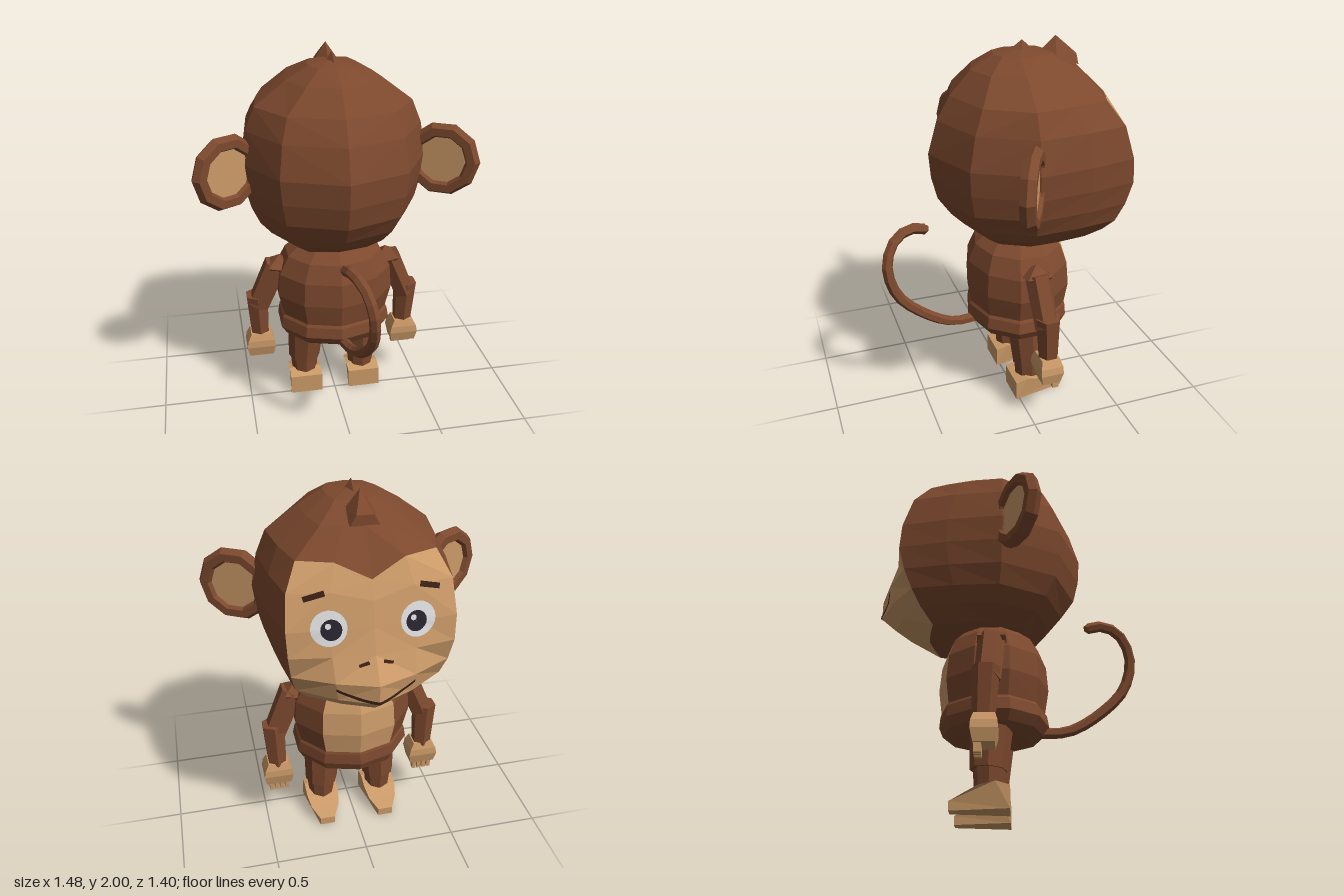
import * as THREE from 'three';
import { ConvexGeometry } from 'three/addons/geometries/ConvexGeometry.js';

const V = (x, y, z) => new THREE.Vector3(x, y, z);

function material(name, color) {
  const m = new THREE.MeshStandardMaterial({ color, flatShading: true, side: THREE.DoubleSide });
  m.name = name;
  return m;
}

function flat(g) {
  const out = g.index ? g.toNonIndexed() : g;
  out.computeVertexNormals();
  return out;
}

// Skin over equal rings (bottom to top, counterclockwise from above).
// second(row, column) picks the faces that take the second material.
function loft(rings, second = () => false, apex = null) {
  const lists = [[], []], n = rings[0].length;
  const tri = (k, ...pts) => pts.forEach(p => lists[k].push(p.x, p.y, p.z));
  const centre = r => r.reduce((s, p) => s.add(p), V(0, 0, 0)).divideScalar(n);
  const top = rings[rings.length - 1], low = rings[0];
  const topC = apex || centre(top), lowC = centre(low);
  for (let i = 0; i < n; i++) {
    const j = (i + 1) % n;
    for (let r = 0; r + 1 < rings.length; r++) {
      const k = second(r, i) ? 1 : 0, a = rings[r], b = rings[r + 1];
      if (i < n / 2) { tri(k, a[i], a[j], b[j]); tri(k, a[i], b[j], b[i]); }
      else { tri(k, a[i], a[j], b[i]); tri(k, a[j], b[j], b[i]); }
    }
    tri(0, low[j], low[i], lowC);
    tri(0, top[i], top[j], topC);
  }
  const g = new THREE.BufferGeometry();
  g.setAttribute('position', new THREE.Float32BufferAttribute(lists[0].concat(lists[1]), 3));
  g.addGroup(0, lists[0].length / 3, 0);
  g.addGroup(lists[0].length / 3, lists[1].length / 3, 1);
  g.computeVertexNormals();
  return g;
}

export function createModel() {
  const brown = material('brown fur', 0x7d492e);
  const tan = material('tan skin', 0xcb9a68);
  const white = material('eye white', 0xdedede);
  const black = material('pupil black', 0x282430);
  const dark = material('dark brown', 0x3a2015);
  const model = new THREE.Group();
  model.name = 'monkey';

  const add = (name, geo, mat, parent = model) => {
    const m = new THREE.Mesh(geo, mat);
    m.name = name;
    parent.add(m);
    return m;
  };
  // Tapered straight piece from a down to b
  const limb = (name, mat, a, b, ra, rb, sides) => {
    const m = add(name, flat(new THREE.CylinderGeometry(ra, rb, a.distanceTo(b), sides)), mat);
    m.position.copy(a).lerp(b, 0.5);
    m.quaternion.setFromUnitVectors(V(0, 1, 0), a.clone().sub(b).normalize());
    return m;
  };

  // Head: y, half width, back z, face half width, face side z, face front z
  const headRows = [
    [0.96, 0.24, 0.12, 0.22, -0.38, -0.42],
    [1.03, 0.34, 0.23, 0.30, -0.44, -0.61],
    [1.10, 0.40, 0.30, 0.36, -0.48, -0.69],
    [1.20, 0.445, 0.37, 0.385, -0.52, -0.69],
    [1.32, 0.475, 0.40, 0.40, -0.55, -0.605],
    [1.45, 0.49, 0.41, 0.405, -0.54, -0.57],
    [1.62, 0.46, 0.36, 0.39, -0.49, -0.545],
    [1.74, 0.41, 0.29, 0.33, -0.41, -0.51],
    [1.86, 0.25, 0.18, 0.20, -0.33, -0.37],
    [1.93, 0.13, 0.06, 0.10, -0.20, -0.23],
  ];
  const headRings = headRows.map(([y, w, zb, wf, zs, zf], r) => {
    const dip = r === 7 ? 0.08 : r === 6 ? 0.05 : 0; // widow's peak
    const half = [
      V(0.66 * w, y, 0.7 * zb),
      V(w, y, 0.3 * zb + 0.25 * zs),
      V((w + wf) / 2 + 0.01, y, 0.55 * zs),
      V(wf, y, zs),
      V(0.5 * wf, y, zs + 0.6 * (zf - zs)),
    ];
    const other = half.map(p => V(-p.x, p.y, p.z)).reverse();
    return [V(0, y, zb), ...half, V(0, y - dip, zf), ...other];
  });
  const head = add('head', loft(headRings, (r, i) => r < 7 && i >= 4 && i <= 7, V(0, 1.95, -0.08)), [brown, tan]);

  // Thin face details laid onto the head surface
  const ray = new THREE.Raycaster();
  const decal = (name, geo, mat, x, y, lift, turn = 0) => {
    geo.rotateZ(turn).rotateY(Math.PI).translate(x, y, 0);
    const p = geo.attributes.position;
    for (let i = 0; i < p.count; i++) {
      ray.set(V(p.getX(i), p.getY(i), -2), V(0, 0, 1));
      const hit = ray.intersectObject(head)[0];
      p.setZ(i, (hit ? hit.point.z : -0.5) - lift);
    }
    add(name, flat(geo), mat);
  };
  const disc = r => new THREE.RingGeometry(0.001, r, 20, 4);
  for (const s of [-1, 1]) {
    decal('eyeWhite', disc(0.085), white, s * 0.21, 1.46, 0.005);
    decal('pupil', disc(0.05), black, s * 0.2, 1.455, 0.009);
    decal('eyeHighlight', disc(0.014), white, s * 0.2 + 0.015, 1.475, 0.013);
    decal('eyebrow', new THREE.PlaneGeometry(0.1, 0.025, 6, 2), dark, s * 0.27, 1.61, 0.008, s * 0.25);
    decal('nostril', new THREE.PlaneGeometry(0.05, 0.014, 3, 1), dark, s * 0.058, 1.285, 0.006, s * 0.3);
  }
  const mouth = new THREE.PlaneGeometry(0.38, 0.016, 24, 1);
  const mp = mouth.attributes.position;
  for (let i = 0; i < mp.count; i++) mp.setY(i, mp.getY(i) + 0.055 * (mp.getX(i) / 0.19) ** 2);
  decal('mouth', mouth, dark, 0, 1.11, 0.006);

  // Hair tufts
  add('frontTuft', flat(new ConvexGeometry([V(-0.07, 1.86, -0.37), V(0.07, 1.86, -0.37), V(-0.04, 1.91, -0.37),
    V(0.04, 1.91, -0.37), V(0, 2, -0.27), V(-0.07, 1.9, -0.25), V(0.07, 1.9, -0.25), V(0, 1.92, -0.18)])), brown);
  add('backTuft', flat(new ConvexGeometry([V(0, 1.99, -0.09), V(0, 1.92, -0.17), V(0.045, 1.92, -0.08),
    V(-0.045, 1.92, -0.08), V(0, 1.92, 0.01)])), brown);

  // Torso: y, half width, back z, front z
  const torsoRows = [
    [0.39, 0.17, 0.12, -0.27], [0.42, 0.28, 0.19, -0.33], [0.47, 0.31, 0.22, -0.35], [0.53, 0.30, 0.21, -0.345],
    [0.545, 0.29, 0.20, -0.34], [0.67, 0.32, 0.22, -0.357], [0.80, 0.31, 0.21, -0.345],
    [0.90, 0.26, 0.17, -0.31], [0.97, 0.17, 0.09, -0.25],
  ];
  const torsoRings = torsoRows.map(([y, w, zb, zf]) => Array.from({ length: 10 }, (_, i) => {
    const a = i * Math.PI / 5;
    return V(Math.sin(a) * w / 0.951, y, (zb + zf) / 2 + Math.cos(a) * (zb - zf) / 2);
  }));
  add('torso', loft(torsoRings, (r, i) => r >= 4 && (i === 4 || i === 5)), [brown, tan]);

  // Foot side profile, with -z running along the first axis
  const footShape = new THREE.Shape([[-0.02, 0], [0.27, 0], [0.27, 0.045], [0.2, 0.075], [0.13, 0.11], [0.05, 0.13], [-0.02, 0.11]]
    .map(p => new THREE.Vector2(...p)));

  for (const s of [-1, 1]) {
    // Ear: rim with an inner disc seen from both sides
    const ear = new THREE.Group();
    ear.name = s > 0 ? 'leftEar' : 'rightEar';
    ear.position.set(s * 0.565, 1.43, 0.06);
    ear.rotation.y = -s * Math.PI / 6;
    add('earRim', flat(new THREE.TorusGeometry(0.16, 0.042, 6, 10)), brown, ear);
    add('innerEar', flat(new THREE.CylinderGeometry(0.15, 0.15, 0.03, 10).rotateX(Math.PI / 2)), tan, ear);
    model.add(ear);

    // Arm
    add('shoulder', flat(new ConvexGeometry([V(s * 0.3, 0.885, -0.07), V(s * 0.37, 0.83, 0), V(s * 0.37, 0.83, -0.14),
      V(s * 0.24, 0.81, 0.01), V(s * 0.24, 0.81, -0.15), V(s * 0.31, 0.74, -0.07)])), brown);
    limb('upperArm', brown, V(s * 0.32, 0.83, -0.07), V(s * 0.43, 0.57, -0.085), 0.07, 0.065, 6);
    limb('forearm', brown, V(s * 0.435, 0.635, -0.09), V(s * 0.425, 0.37, -0.1), 0.068, 0.055, 6);
    const handRows = [[0.25, 0.07, 0.05], [0.31, 0.082, 0.064], [0.35, 0.075, 0.062], [0.39, 0.055, 0.05]];
    add('hand', loft(handRows.map(([y, w, d]) => [[-1, 1], [1, 1], [1, -1], [-1, -1]]
      .map(([a, b]) => V(s * 0.425 + a * w, y, -0.095 + b * d)))), [tan, tan]);
    for (let k = 0; k < 4; k++) {
      add('finger', flat(new THREE.BoxGeometry(0.022, 0.06, 0.035)), tan)
        .position.set(s * (0.38 + k * 0.029), 0.235, -0.125);
    }

    // Leg and foot
    limb('thigh', brown, V(s * 0.155, 0.46, -0.07), V(s * 0.17, 0.2, -0.085), 0.11, 0.092, 8);
    limb('shin', brown, V(s * 0.17, 0.21, -0.08), V(s * 0.17, 0.1, -0.08), 0.082, 0.072, 8);
    const foot = new THREE.ExtrudeGeometry(footShape, { depth: 0.185, bevelEnabled: false });
    foot.translate(0, 0, -0.0925).rotateY(Math.PI / 2);
    const fp = foot.attributes.position;
    for (let i = 0; i < fp.count; i++) {
      const z = fp.getZ(i);
      fp.setX(i, fp.getX(i) * (z < -0.25 ? 0.45 : z < -0.18 ? 0.85 : 1));
    }
    foot.translate(s * 0.172, 0, 0);
    add('foot', flat(foot), tan);
  }

  // Curled tail with a closed tip
  const tailPath = new THREE.CatmullRomCurve3([[0, 0.44, 0.14], [0.04, 0.46, 0.32], [0.065, 0.57, 0.5], [0.075, 0.71, 0.63],
    [0.065, 0.88, 0.67], [0.03, 1.0, 0.62], [-0.01, 1.04, 0.53], [-0.03, 1.02, 0.44]].map(p => V(...p)));
  add('tail', flat(new THREE.TubeGeometry(tailPath, 16, 0.029, 6)), brown);
  add('tailTip', flat(new THREE.IcosahedronGeometry(0.027, 0)), brown).position.set(-0.03, 1.02, 0.442);

  return model;
}
